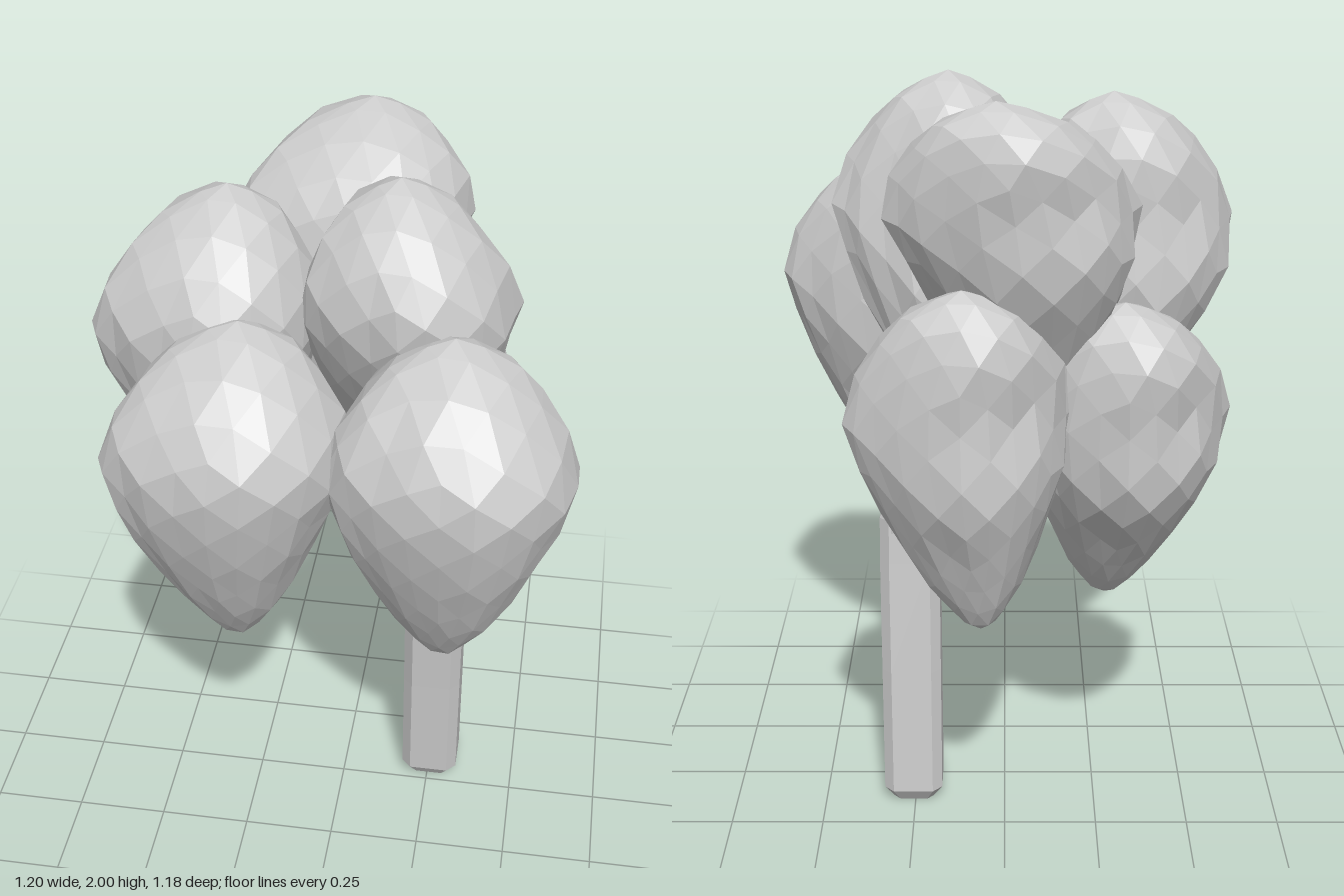
import * as THREE from 'three';

const material = new THREE.MeshStandardMaterial({ color: 0xcccccc, flatShading: true });

// Relative half-width of a leaf clump from its pointed tip (0) to its crown (1)
const PROFILE = [[0, 0], [0.02, 0.13], [0.09, 0.3], [0.2, 0.51], [0.41, 0.8], [0.6, 1], [0.7, 0.97], [0.8, 0.82], [0.9, 0.58], [0.96, 0.37], [1, 0]];

function widthAt(t) {
  for (let i = 1; i < PROFILE.length; i++) {
    const [t0, w0] = PROFILE[i - 1], [t1, w1] = PROFILE[i];
    if (t <= t1) return w0 + (w1 - w0) * (t - t0) / (t1 - t0);
  }
  return 0;
}

const hump = (t, centre, spread) => Math.exp(-(((t - centre) / spread) ** 2));

// Faceted, skewed teardrop clump along a bent axis: full shoulder in front, low bulge and groove behind
function leafClump(name, tip, mid, top, halfWidth, halfDepth, seed) {
  const axis = new THREE.CatmullRomCurve3([tip, mid, top].map(p => new THREE.Vector3(...p)));
  const geometry = new THREE.IcosahedronGeometry(1, 3);
  const pos = geometry.attributes.position;
  const v = new THREE.Vector3();
  for (let i = 0; i < pos.count; i++) {
    v.fromBufferAttribute(pos, i);
    const t = THREE.MathUtils.clamp((v.y + 1) / 2, 0, 1);
    const r = Math.hypot(v.x, v.z);
    const c = r > 1e-4 ? v.x / r : 0, s = r > 1e-4 ? v.z / r : 0;
    const bump = 1 + 0.035 * Math.sin(9 * v.x + 5 * v.y + seed) * Math.sin(8 * v.z - 6 * v.y + seed);
    const groove = 1 - 0.2 * hump(t, 0.66, 0.1) * Math.max(0, -0.7 * c - 0.7 * s) ** 4;
    const w = widthAt(t) * bump * groove;
    const back = s < 0 ? 1 + s * s * (0.2 * hump(t, 0.41, 0.12) - 0.06 * hump(t, 0.6, 0.08)) : 1;
    const depth = halfDepth * back * (1 + 0.12 * hump(t, 0.9, 0.12));
    const skew = 0.38 * c * Math.abs(s) * halfDepth - 0.045 * c;
    const p = axis.getPoint(t);
    pos.setXYZ(i,
      p.x + c * w * halfWidth,
      p.y,
      p.z + 0.03 * hump(t, 0.77, 0.18) + w * (s * depth + skew));
  }
  geometry.computeVertexNormals();
  const mesh = new THREE.Mesh(geometry, material);
  mesh.name = name;
  return mesh;
}

// Square limb with bevelled corners through horizontal sections [x, y, z, half-width], from the bottom up
function limb(name, sections) {
  const n = sections.length - 1;
  const geometry = new THREE.CylinderGeometry(1, 1, 1, 8, n, false, Math.PI / 8);
  const pos = geometry.attributes.position;
  const square = a => Math.abs(a) < 0.1 ? 0 : Math.sign(a) * (Math.abs(a) > 0.5 ? 1 : 0.68);
  for (let i = 0; i < pos.count; i++) {
    const [x, y, z, r] = sections[Math.round((pos.getY(i) + 0.5) * n)];
    pos.setXYZ(i, x + square(pos.getX(i)) * r, y, z + square(pos.getZ(i)) * r);
  }
  geometry.computeVertexNormals();
  const mesh = new THREE.Mesh(geometry, material);
  mesh.name = name;
  return mesh;
}

export function createModel() {
  const tree = new THREE.Group();
  tree.name = 'tree';

  // Trunk leaning slightly forward, forking into two branches near the top
  tree.add(limb('trunk', [
    [0.255, 0, -0.082, 0.055], [0.255, 0.04, -0.082, 0.08], [0.255, 0.4, -0.056, 0.08],
    [0.255, 0.72, -0.03, 0.08], [0.253, 0.84, -0.022, 0.08], [0.24, 0.93, -0.018, 0.066],
  ]));
  tree.add(limb('frontBranch', [
    [0.252, 0.8, -0.015, 0.076], [0.25, 0.88, 0.002, 0.072], [0.25, 0.96, 0.035, 0.055],
    [0.26, 1.03, 0.1, 0.033], [0.27, 1.13, 0.21, 0.022],
  ]));
  tree.add(limb('backBranch', [
    [0.252, 0.8, -0.028, 0.076], [0.235, 0.88, -0.04, 0.07], [0.18, 0.96, -0.07, 0.05],
    [0.1, 1.03, -0.12, 0.032], [-0.01, 1.13, -0.19, 0.022],
  ]));

  // Foliage: name, tip, middle, crown, half-width, half-depth
  const clumps = [
    ['frontLeftClump', [0.3, 0.82, 0.32], [0.305, 1.3, 0.35], [0.3, 1.74, 0.28], 0.305, 0.235],
    ['frontRightClump', [-0.23, 0.82, 0.32], [-0.235, 1.3, 0.35], [-0.2, 1.74, 0.28], 0.305, 0.235],
    ['upperRightClump', [-0.25, 1.05, 0.04], [-0.325, 1.5, 0.07], [-0.27, 1.95, 0.02], 0.285, 0.22],
    ['upperLeftClump', [0.1, 1.1, -0.15], [0.17, 1.56, 0.035], [0.14, 2, 0.03], 0.265, 0.22],
    ['upperBackClump', [-0.08, 1.15, -0.2], [-0.04, 1.62, -0.28], [0.02, 2, -0.4], 0.31, 0.215],
    ['lowerBackClump', [0.06, 0.68, -0.4], [0.1, 1.13, -0.38], [0.1, 1.58, -0.46], 0.285, 0.215],
    ['lowerRightClump', [-0.27, 0.62, -0.07], [-0.3, 1.06, -0.18], [-0.29, 1.5, -0.29], 0.28, 0.23],
  ];
  clumps.forEach((args, i) => tree.add(leafClump(...args, i * 0.4)));
  return tree;
}
